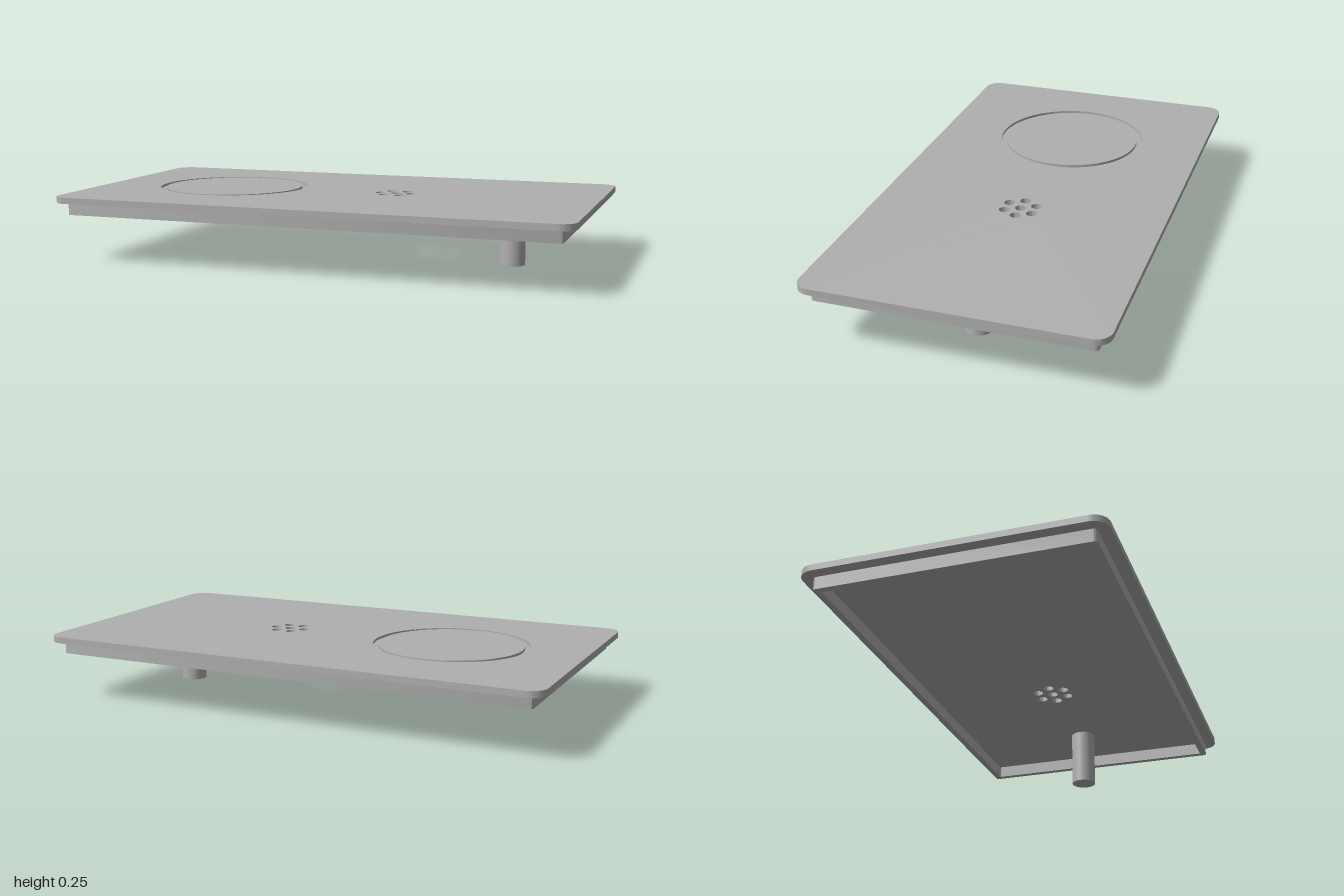
import * as THREE from 'three';
import { toCreasedNormals } from 'three/addons/utils/BufferGeometryUtils.js';

// Rounded rectangle outline, w along x and d along z
function roundedRect(w, d, r, Type = THREE.Shape) {
  const s = new Type(), x = w / 2, y = d / 2;
  s.moveTo(-x + r, -y);
  s.lineTo(x - r, -y).absarc(x - r, -y + r, r, -Math.PI / 2, 0);
  s.lineTo(x, y - r).absarc(x - r, y - r, r, 0, Math.PI / 2);
  s.lineTo(-x + r, y).absarc(-x + r, y - r, r, Math.PI / 2, Math.PI);
  s.lineTo(-x, -y + r).absarc(-x + r, -y + r, r, Math.PI, Math.PI * 1.5);
  return s;
}

function circle(x, y, r, Type = THREE.Path) {
  return new Type().absarc(x, y, r, 0, Math.PI * 2);
}

// Extrude an outline upwards from y0 to y1
function slab(shape, y0, y1, curveSegments) {
  const g = new THREE.ExtrudeGeometry(shape, { depth: y1 - y0, bevelEnabled: false, curveSegments });
  g.rotateX(-Math.PI / 2).translate(0, y0, 0);
  return toCreasedNormals(g, 0.6);
}

export function createModel() {
  const group = new THREE.Group();
  const metal = new THREE.MeshStandardMaterial({ color: 0xb0b0b0 });
  metal.name = 'grey metal';
  const add = (name, geometry) => {
    const mesh = new THREE.Mesh(geometry, metal);
    mesh.name = name;
    group.add(mesh);
    return mesh;
  };

  const W = 2, D = 1.108, bottom = 0.23, grooveFloor = 0.244, top = 0.254;
  const ring = { x: -0.48, outer: 0.3, inner: 0.278 };

  // Hexagonal cluster of seven through holes
  const drainHoles = [[0.214, 0]];
  for (let i = 0; i < 6; i++) {
    const a = i * Math.PI / 3;
    drainHoles.push([0.214 + 0.0625 * Math.cos(a), 0.0625 * Math.sin(a)]);
  }
  const pierce = (shape) => drainHoles.forEach(([x, y]) => shape.holes.push(circle(x, y, 0.021)));

  // Plate: a pierced base layer, and a top layer cut by the ring groove
  const base = roundedRect(W, D, 0.06);
  pierce(base);
  add('plateBase', slab(base, bottom, grooveFloor, 32));

  const cover = roundedRect(W, D, 0.06);
  pierce(cover);
  cover.holes.push(circle(ring.x, 0, ring.outer));
  add('plateTop', slab(cover, grooveFloor, top, 32));
  add('ringIsland', slab(circle(ring.x, 0, ring.inner, THREE.Shape), grooveFloor, top, 32));

  // Skirt frame below the plate, open in the middle
  const skirt = roundedRect(1.91, 1.02, 0.014);
  skirt.holes.push(roundedRect(1.86, 0.97, 0.004, THREE.Path));
  add('skirt', slab(skirt, 0.181, bottom, 8));

  // Round post hanging from the underside
  const post = add('post', new THREE.CylinderGeometry(0.05, 0.05, bottom, 48));
  post.position.set(0.68, bottom / 2, 0);

  return group;
}
